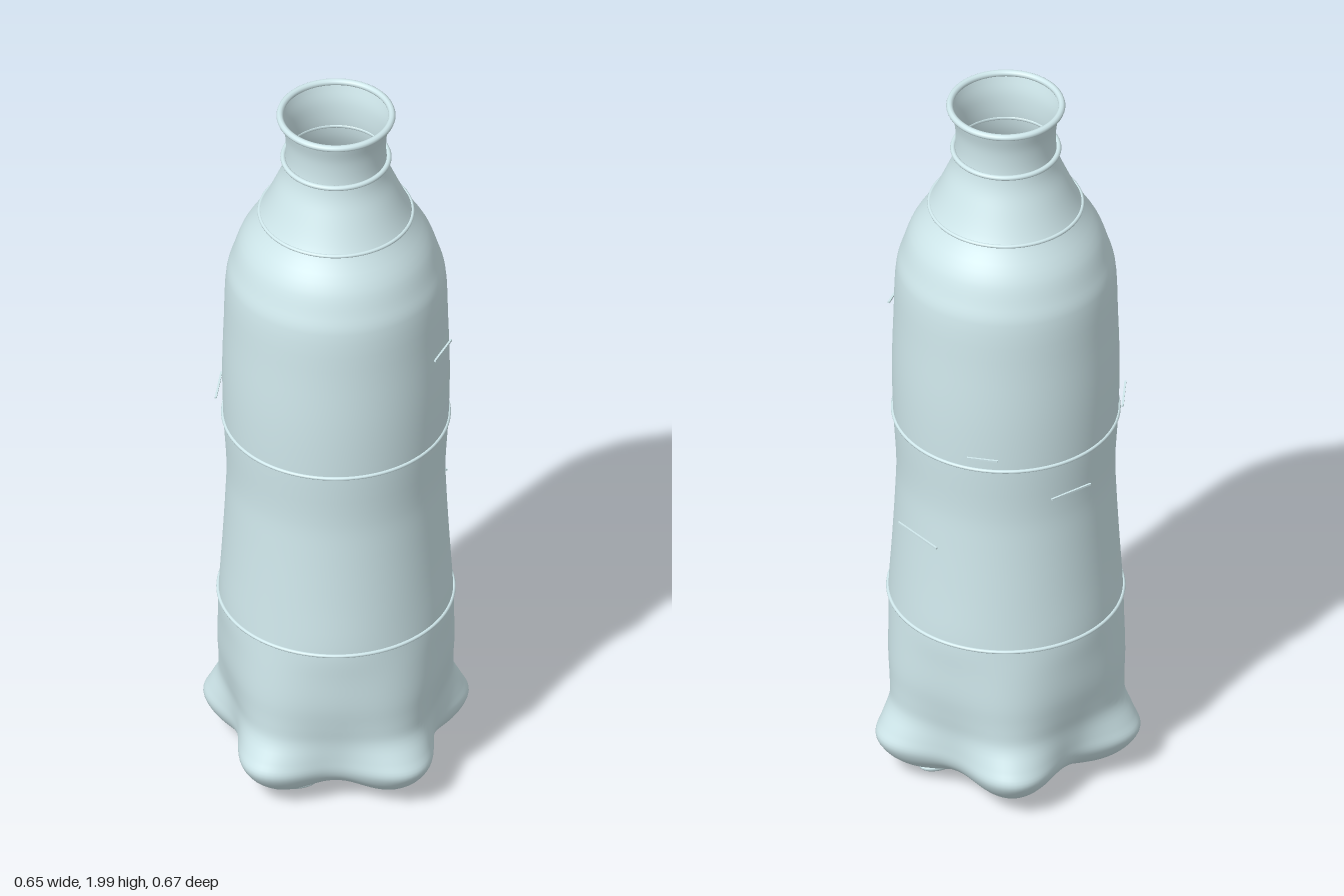
import * as THREE from 'three';

const AXIS_X = -0.025;
const material = new THREE.MeshStandardMaterial({ color: 0xd0e8ec, side: THREE.DoubleSide });

// [lobe radius, height, valley radius, extra height in the valleys], from base centre to mouth
const PROFILE = [
  [0.001, 0.055, 0.001, 0], [0.03, 0.055, 0.018, 0], [0.05, 0.045, 0.03, 0], [0.062, 0.022, 0.042, 0],
  [0.1, 0.015, 0.09, 0.004], [0.15, 0.008, 0.14, 0.012], [0.2, 0.008, 0.18, 0.025],
  [0.25, 0.025, 0.215, 0.03], [0.295, 0.05, 0.242, 0.025], [0.332, 0.085, 0.26, 0.012],
  [0.349, 0.12, 0.268, 0], [0.334, 0.155, 0.27, 0], [0.308, 0.21, 0.272, 0], [0.305, 0.26, 0.28, 0],
  [0.306, 0.33, 0.29, 0], [0.302, 0.42, 0.294, 0], [0.297, 0.5, 0.297, 0], [0.288, 0.65, 0.288, 0],
  [0.28, 0.8, 0.28, 0], [0.277, 0.9, 0.277, 0], [0.285, 1.05, 0.285, 0], [0.288, 1.2, 0.288, 0],
  [0.284, 1.35, 0.284, 0], [0.277, 1.5, 0.277, 0], [0.263, 1.55, 0.263, 0], [0.242, 1.61, 0.242, 0],
  [0.194, 1.69, 0.194, 0], [0.157, 1.77, 0.157, 0], [0.137, 1.82, 0.137, 0], [0.129, 1.86, 0.129, 0],
  [0.127, 1.9, 0.127, 0], [0.13, 1.94, 0.13, 0], [0.141, 1.985, 0.141, 0],
];

// Open shell: rings around the axis that blend between lobe and valley radius
function shellGeometry(sides = 140, steps = 4) {
  const peaks = new THREE.CatmullRomCurve3(PROFILE.map(p => new THREE.Vector3(p[0], p[1], 0)));
  const valleys = new THREE.CatmullRomCurve3(PROFILE.map(p => new THREE.Vector3(p[2], p[1] + p[3], 0)));
  const rows = (PROFILE.length - 1) * steps;
  const positions = [], index = [];
  for (let i = 0; i <= rows; i++) {
    const a = peaks.getPoint(i / rows), b = valleys.getPoint(i / rows);
    for (let j = 0; j < sides; j++) {
      const angle = j / sides * Math.PI * 2;
      const lobe = Math.pow(0.5 + 0.5 * Math.cos(5 * angle), 1.1);
      const r = THREE.MathUtils.lerp(b.x, a.x, lobe);
      positions.push(r * Math.cos(angle), THREE.MathUtils.lerp(b.y, a.y, lobe), r * Math.sin(angle));
    }
  }
  for (let i = 0; i < rows; i++) {
    for (let j = 0; j < sides; j++) {
      const k = (j + 1) % sides;
      const a = i * sides + j, b = i * sides + k, c = a + sides, d = b + sides;
      index.push(a, c, b, b, c, d);
    }
  }
  const geometry = new THREE.BufferGeometry();
  geometry.setAttribute('position', new THREE.Float32BufferAttribute(positions, 3));
  geometry.setIndex(index);
  geometry.computeVertexNormals();
  return geometry;
}

export function createModel() {
  const group = new THREE.Group();
  group.name = 'bottle';
  const add = (name, geometry, x = 0, y = 0, z = 0) => {
    const mesh = new THREE.Mesh(geometry, material);
    mesh.name = name;
    mesh.position.set(x + AXIS_X, y, z);
    group.add(mesh);
    return mesh;
  };

  add('bottleBody', shellGeometry());

  // Lip, neck collar and thin bands: [name, radius, tube, height]
  [
    ['mouthRim', 0.142, 0.009, 1.991], ['neckCollar', 0.134, 0.007, 1.86], ['shoulderBand', 0.194, 0.005, 1.69],
    ['middleBand', 0.286, 0.005, 1.057], ['lowerBand', 0.298, 0.005, 0.506],
  ].forEach(([name, radius, tube, y]) => {
    add(name, new THREE.TorusGeometry(radius, tube, 10, 96), 0, y).rotation.x = Math.PI / 2;
  });

  // Flattened pads under the lobes
  for (let i = 0; i < 5; i++) {
    const angle = -0.157 + i * Math.PI * 0.4;
    add('footPad', new THREE.SphereGeometry(1, 20, 12), 0.2 * Math.cos(angle), 0.026, 0.2 * Math.sin(angle))
      .scale.set(0.05, 0.016, 0.028);
  }

  // Short raised strips along the wall: [x, y, z, length]
  [
    [0.22, 1.34, 0.2, 0.1], [0.277, 0.79, -0.09, 0.15], [0.165, 1.1, -0.25, 0.08],
    [-0.27, 1.11, -0.13, 0.11], [-0.065, 0.96, -0.281, 0.12],
  ].forEach(([x, y, z, length]) => {
    add('wallStrip', new THREE.BoxGeometry(length, 0.005, 0.005), x, y, z).rotation.y = Math.atan2(x, z);
  });

  return group;
}
